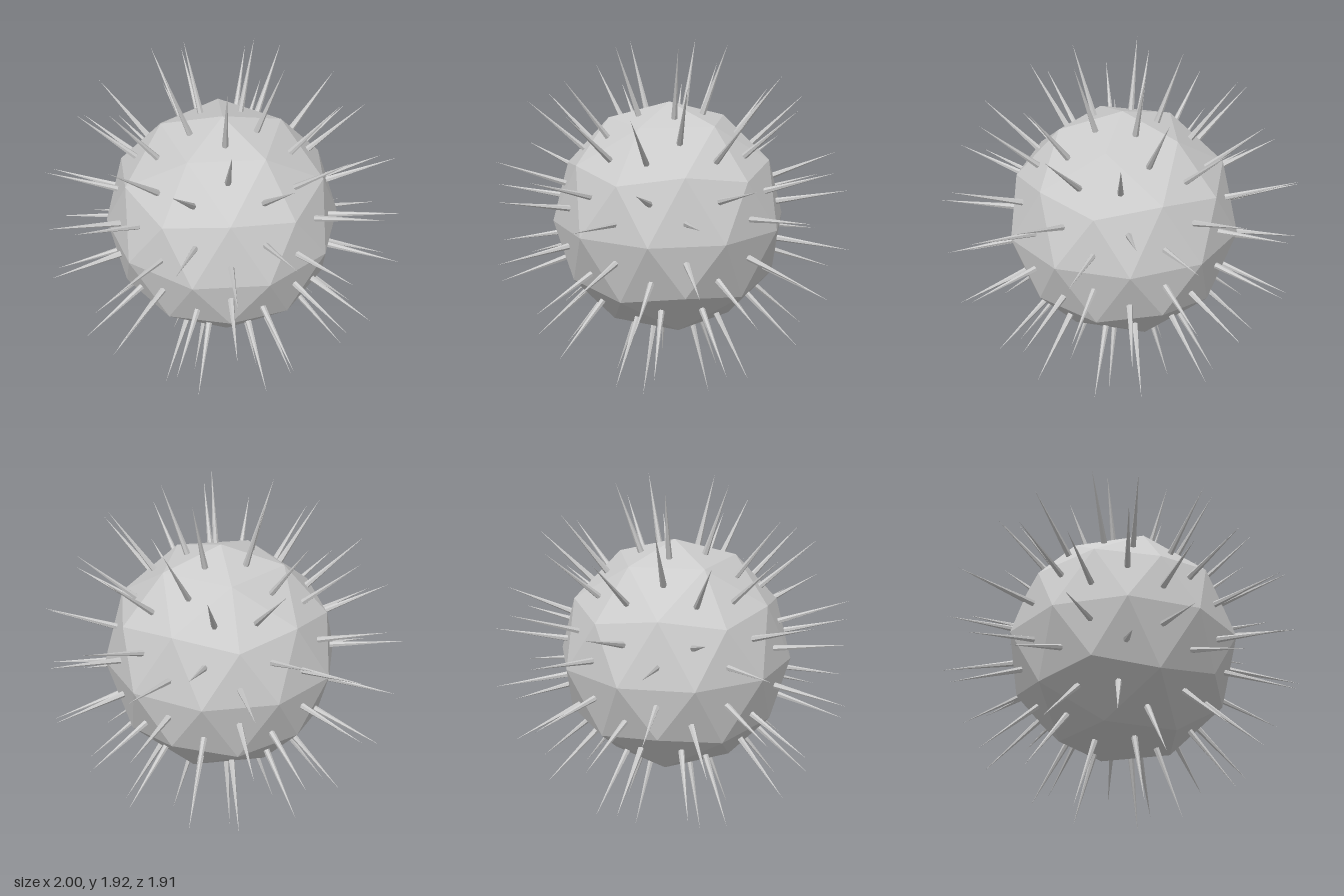
import * as THREE from 'three';

const RADIUS = 0.647, CENTRE_Y = 0.966;
const SPIKE_LENGTH = 0.402, SPIKE_RADIUS = 0.017;

export function createModel() {
  const group = new THREE.Group();
  const material = new THREE.MeshStandardMaterial({ color: 0xcccccc, flatShading: true });

  // Faceted body: 80-sided icosphere turned so one corner points straight up
  const bodyGeo = new THREE.IcosahedronGeometry(RADIUS, 1);
  bodyGeo.rotateZ(-Math.atan(2 / (1 + Math.sqrt(5))));
  bodyGeo.computeVertexNormals();
  const body = new THREE.Mesh(bodyGeo, material);
  body.name = 'body';
  group.add(body);

  // One thin spike standing on the middle of every face
  const spikeGeo = new THREE.ConeGeometry(SPIKE_RADIUS, SPIKE_LENGTH, 6);
  spikeGeo.translate(0, SPIKE_LENGTH / 2, 0);
  const spikes = new THREE.Group();
  spikes.name = 'spikes';
  const up = new THREE.Vector3(0, 1, 0);
  const normal = new THREE.Vector3();
  const face = new THREE.Triangle();
  const pos = bodyGeo.attributes.position;
  for (let i = 0; i < pos.count; i += 3) {
    face.setFromAttributeAndIndices(pos, i, i + 1, i + 2);
    const spike = new THREE.Mesh(spikeGeo, material);
    spike.name = 'spike';
    face.getMidpoint(spike.position);
    spike.quaternion.setFromUnitVectors(up, face.getNormal(normal));
    spikes.add(spike);
  }
  group.add(spikes);

  body.position.y = CENTRE_Y;
  spikes.position.y = CENTRE_Y;
  return group;
}
